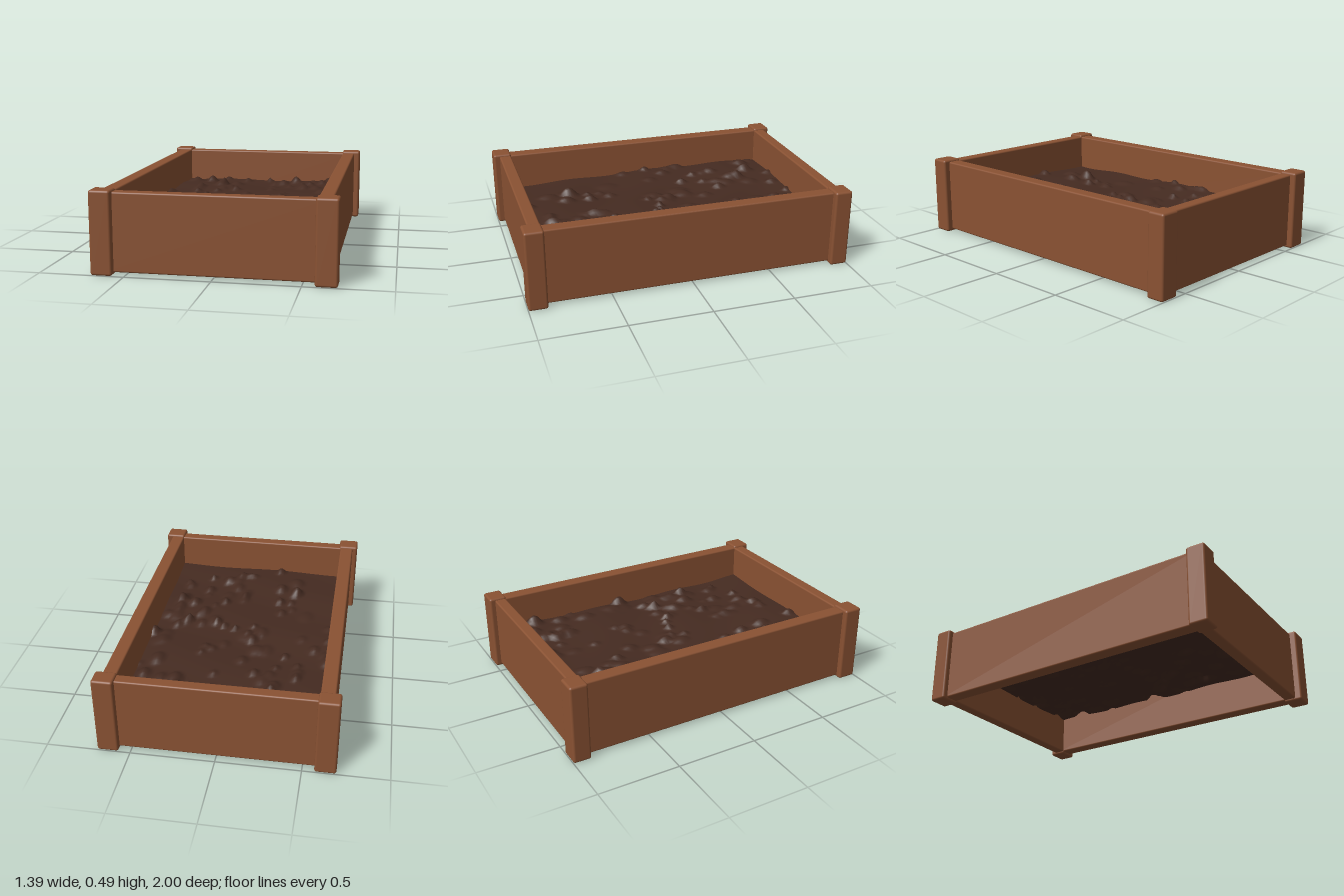
import * as THREE from 'three';
import { RoundedBoxGeometry } from 'three/addons/geometries/RoundedBoxGeometry.js';

const wood = new THREE.MeshStandardMaterial({ color: 0x8a5233 });
wood.name = 'wood';
const soil = new THREE.MeshStandardMaterial({ color: 0x452b21, side: THREE.DoubleSide });
soil.name = 'soil';

// Softly rounded timber spanning two corners
function timber(name, min, max, radius) {
  const size = max.map((v, i) => v - min[i]);
  const mesh = new THREE.Mesh(new RoundedBoxGeometry(...size, 3, radius), wood);
  mesh.position.set(...max.map((v, i) => (v + min[i]) / 2));
  mesh.name = name;
  return mesh;
}

// Repeatable random numbers from 0 to 1
function seeded(seed) {
  return () => {
    seed = (seed * 16807) % 2147483647;
    return seed / 2147483647;
  };
}

// Uneven sheet of earth: gentle waves plus small steep clods
function soilGeometry() {
  const random = seeded(71);
  const clods = Array.from({ length: 110 }, () => ({
    x: (random() - 0.5) * 1.15,
    z: (random() - 0.5) * 1.75,
    r: 0.02 + random() * 0.035,
    h: 0.012 + random() * 0.022,
  }));
  const geometry = new THREE.PlaneGeometry(1.17, 1.79, 70, 106).rotateX(-Math.PI / 2);
  const p = geometry.attributes.position;
  for (let i = 0; i < p.count; i++) {
    const x = p.getX(i), z = p.getZ(i);
    let y = 0.255 + 0.008 * Math.sin(7 * x + 3 * z) + 0.006 * Math.sin(11 * z - 4 * x);
    for (const c of clods) {
      const d = Math.hypot(x - c.x, (z - c.z) * 0.7) / c.r;
      if (d < 1) y += c.h * (1 - d * d);
    }
    p.setY(i, y);
  }
  geometry.computeVertexNormals();
  return geometry;
}

export function createModel() {
  const model = new THREE.Group();
  model.name = 'raisedGardenBed';

  // Corner posts
  for (const [side, x] of [['Left', 0.633], ['Right', -0.633]]) {
    for (const [end, z] of [['front', 0.942], ['back', -0.945]]) {
      const hx = 0.063, hz = end === 'front' ? 0.058 : 0.055;
      model.add(timber(end + side + 'Post', [x - hx, 0, z - hz], [x + hx, 0.488, z + hz], 0.014));
    }
  }

  // Long side boards
  model.add(timber('leftBoard', [0.573, 0.014, -0.92], [0.657, 0.475, 0.92], 0.01));
  model.add(timber('rightBoard', [-0.663, 0.014, -0.92], [-0.577, 0.475, 0.92], 0.01));

  // Short end boards
  model.add(timber('frontBoard', [-0.61, 0.014, 0.885], [0.61, 0.475, 0.96], 0.01));
  model.add(timber('backBoard', [-0.61, 0.014, -0.965], [0.61, 0.475, -0.893], 0.01));

  // Earth filling
  const earth = new THREE.Mesh(soilGeometry(), soil);
  earth.name = 'soilBed';
  model.add(earth);

  return model;
}
